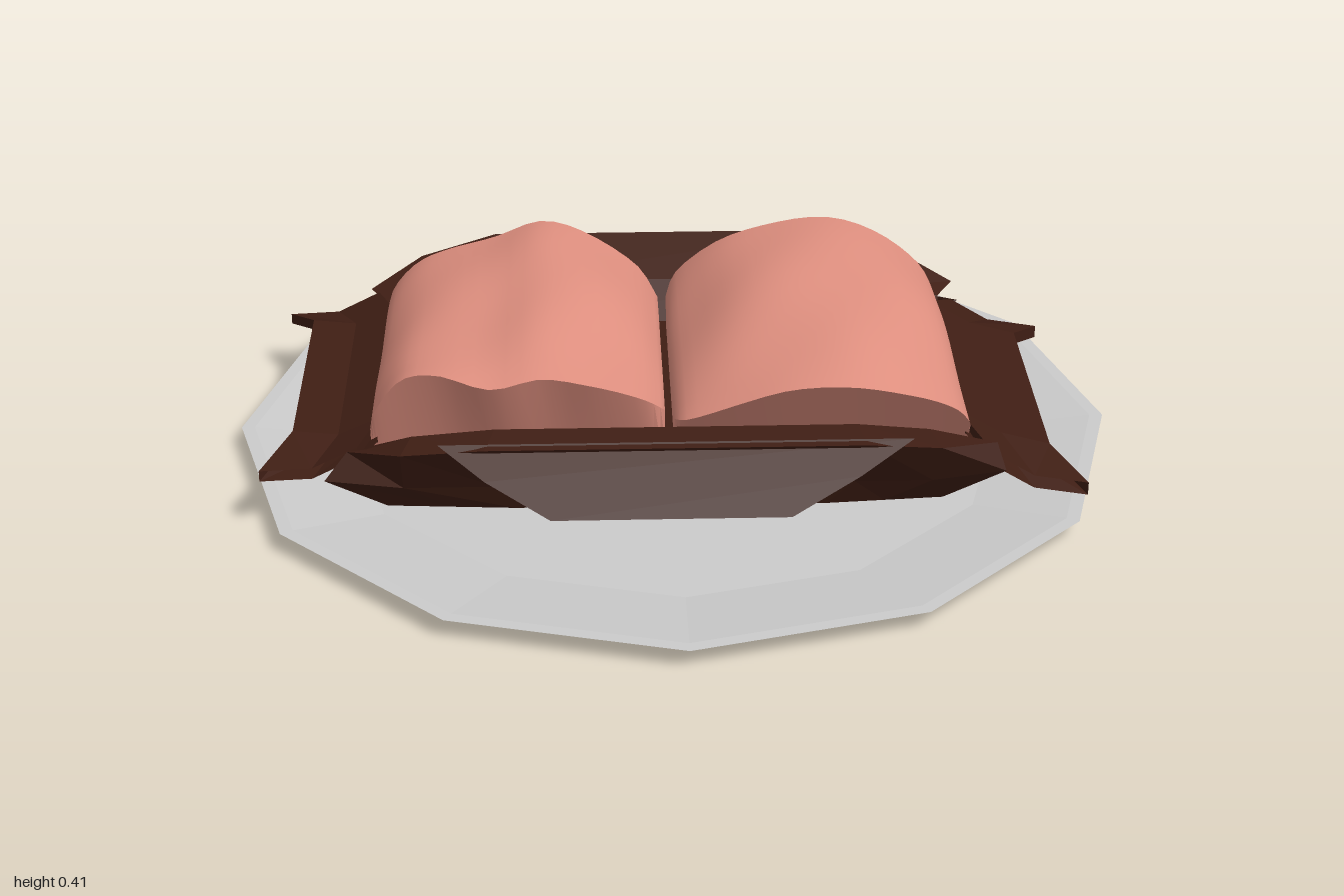
import * as THREE from 'three';
import { toCreasedNormals } from 'three/addons/utils/BufferGeometryUtils.js';

const grey = new THREE.MeshStandardMaterial({ color: 0xcccccc, flatShading: true });
const brown = new THREE.MeshStandardMaterial({ color: 0x3f1e14, flatShading: true, side: THREE.DoubleSide });
const pink = new THREE.MeshStandardMaterial({ color: 0xe09080, side: THREE.DoubleSide });

// Grid surface through rows of [x, y, z] points
function grid(rows) {
  const n = rows[0].length, index = [];
  for (let r = 0; r < rows.length - 1; r++) {
    for (let c = 0; c < n - 1; c++) {
      const a = r * n + c, b = a + n;
      index.push(a, b, a + 1, a + 1, b, b + 1);
    }
  }
  const geo = new THREE.BufferGeometry();
  geo.setAttribute('position', new THREE.Float32BufferAttribute(rows.flat(2), 3));
  geo.setIndex(index);
  geo.computeVertexNormals();
  return geo;
}

function add(group, name, geo, mat) {
  const mesh = new THREE.Mesh(geo, mat);
  mesh.name = name;
  group.add(mesh);
}

// Twelve-sided shallow dish
function plate() {
  const p = [[0, 0], [0.86, 0], [1, 0.045], [0.97, 0.045], [0.75, 0.02], [0, 0.02]];
  return new THREE.LatheGeometry(p.map(([x, y]) => new THREE.Vector2(x, y)), 12);
}

// Long wrapper wall: rows of [xs, ys, z at ends, z at shoulders, z in middle]
function wall(rows) {
  return grid(rows.map(([xs, ys, zs]) => xs.map((x, i) => {
    const k = Math.min(i, xs.length - 1 - i);
    return [x, ys[k], zs[k]];
  })));
}

// Folded wing: profile of [corner x, corner y, middle x, middle y], given thickness
function wing(profile, thick) {
  const rail = (drop) => profile.map(([cx, cy, mx, my]) =>
    [[cx, cy - drop, -0.4], [mx, my - drop, -0.29], [mx, my - drop, 0.28], [cx, cy - drop, 0.4]]);
  const rows = [...rail(0), ...rail(thick).reverse()];
  rows.push(rows[0]);
  return grid(rows);
}

// Soft bar: stations of [x, middle y, front y, front z, back z], rounded on top,
// ends leaning inward towards a shorter underside
function bar(stations, seed) {
  const curve = (k) => new THREE.SplineCurve(stations.map((s, i) => new THREE.Vector2(i, s[k])));
  const curves = [0, 1, 2, 3, 4].map(curve);
  const across = 26, along = 12, base = 0.16;
  const top = [], under = [];
  for (let j = 0; j <= along; j++) {
    const v = j / along, row = [], low = [];
    for (let i = 0; i <= across; i++) {
      const [x, ym, yf, zf, zb] = curves.map((c) => c.getPoint(i / across).y);
      const f = Math.max(0, (v - 0.4) / 0.6), b = Math.max(0, (0.4 - v) / 0.4);
      const dent = 0.006 * Math.sin(x * 17 + seed) * Math.sin(v * 9 + seed);
      const y = ym + (yf - ym) * f ** 1.6 - 0.017 * b * b + dent;
      row.push([x, y, zb + (zf - zb) * v]);
      low.push([x, base, -0.29 + 0.61 * v]);
    }
    top.push(row);
    under.push(low);
  }
  // One closed loop per section, then both end caps
  const n = across + 1;
  const loops = top.map((row, j) => [...row, ...under[j].slice().reverse(), row[0]]);
  const geo = grid(loops);
  const index = [...geo.index.array], w = loops[0].length;
  for (const j of [0, along]) {
    for (let i = 0; i < across; i++) {
      const a = j * w + i, c = j * w + 2 * n - 1 - i;
      if (j) index.push(a, c, c - 1, a, c - 1, a + 1);
      else index.push(a, c - 1, c, a, a + 1, c - 1);
    }
  }
  geo.setIndex(index);
  return toCreasedNormals(geo, 0.7);
}

export function createModel() {
  const model = new THREE.Group();
  model.name = 'barsOnPlate';
  add(model, 'plate', plate(), grey);

  // Wrapper
  const wrapper = new THREE.Group();
  wrapper.name = 'wrapper';
  model.add(wrapper);
  const bottomX = [-0.64, -0.5, -0.36, 0.32, 0.45, 0.58];
  const bulgeX = [-0.77, -0.6, -0.4, 0.38, 0.55, 0.71];
  const rimX = [-0.72, -0.6, -0.42, 0.4, 0.56, 0.69];
  const inX = [-0.68, -0.58, -0.4, 0.38, 0.54, 0.65];
  add(wrapper, 'frontWall', wall([
    [bottomX, [0.05, 0.05, 0.05], [0.39, 0.4, 0.41]],
    [bulgeX, [0.14, 0.12, 0.12], [0.44, 0.44, 0.44]],
    [rimX, [0.2, 0.23, 0.25], [0.42, 0.5, 0.52]],
    [inX, [0.19, 0.235, 0.26], [0.39, 0.42, 0.44]],
    [inX, [0.16, 0.16, 0.16], [0.32, 0.34, 0.34]],
  ]), brown);
  add(wrapper, 'backWall', wall([
    [bottomX, [0.05, 0.05, 0.05], [-0.37, -0.38, -0.39]],
    [bulgeX, [0.14, 0.12, 0.12], [-0.44, -0.44, -0.44]],
    [inX, [0.17, 0.19, 0.2], [-0.4, -0.41, -0.42]],
    [rimX, [0.2, 0.25, 0.295], [-0.42, -0.5, -0.525]],
    [inX, [0.19, 0.21, 0.23], [-0.36, -0.38, -0.39]],
    [inX, [0.16, 0.16, 0.16], [-0.3, -0.3, -0.3]],
  ]), brown);
  add(wrapper, 'frontFlap', grid([
    [[-0.52, 0.255, 0.5], [0.5, 0.255, 0.5]],
    [[-0.42, 0.2, 0.565], [0.38, 0.2, 0.565]],
    [[-0.28, 0.14, 0.63], [0.23, 0.14, 0.63]],
  ]), brown);

  // Ends and floors
  for (const [name, x0, x1, x2] of [['rightEnd', -0.64, -0.74, -0.66], ['leftEnd', 0.58, 0.68, 0.63]]) {
    add(wrapper, name, grid([[x0, 0.05, 0.38], [x1, 0.13, 0.42], [x2, 0.19, 0.36], [x2, 0.16, 0.3]]
      .map(([x, y, z]) => [[x, y, -z], [x, y, z]])), brown);
  }
  for (const [name, x0, x1, y, z] of [['outerFloor', -0.64, 0.58, 0.05, 0.39], ['innerFloor', -0.67, 0.64, 0.158, 0.34]]) {
    add(wrapper, name, grid([[[x0, y, -z], [x0, y, z]], [[x1, y, -z], [x1, y, z]]]), brown);
  }
  add(wrapper, 'leftWing', wing([
    [0.69, 0.16, 0.62, 0.21], [0.78, 0.105, 0.72, 0.15], [0.9, 0.085, 0.83, 0.12],
  ], 0.03), brown);
  add(wrapper, 'rightWing', wing([
    [-0.7, 0.2, -0.66, 0.21], [-0.8, 0.15, -0.75, 0.17], [-0.915, 0.145, -0.85, 0.18],
  ], 0.025), brown);

  // Bars
  add(model, 'leftBar', bar([
    [-0.01, 0.24, 0.24, 0.36, -0.3], [0.02, 0.28, 0.27, 0.42, -0.36], [0.13, 0.365, 0.315, 0.445, -0.365],
    [0.25, 0.4, 0.35, 0.455, -0.38], [0.38, 0.4, 0.36, 0.46, -0.39], [0.5, 0.37, 0.33, 0.45, -0.375],
    [0.59, 0.31, 0.285, 0.425, -0.36], [0.63, 0.25, 0.235, 0.39, -0.33], [0.64, 0.19, 0.19, 0.34, -0.3],
  ], 1), pink);
  add(model, 'rightBar', bar([
    [-0.675, 0.19, 0.21, 0.33, -0.3], [-0.66, 0.25, 0.27, 0.36, -0.34], [-0.6, 0.31, 0.355, 0.39, -0.37],
    [-0.52, 0.345, 0.37, 0.405, -0.38], [-0.41, 0.37, 0.345, 0.42, -0.38], [-0.3, 0.4, 0.36, 0.4, -0.39],
    [-0.19, 0.375, 0.34, 0.405, -0.38], [-0.08, 0.305, 0.29, 0.37, -0.355], [-0.03, 0.24, 0.24, 0.32, -0.3],
  ], 4), pink);
  return model;
}
